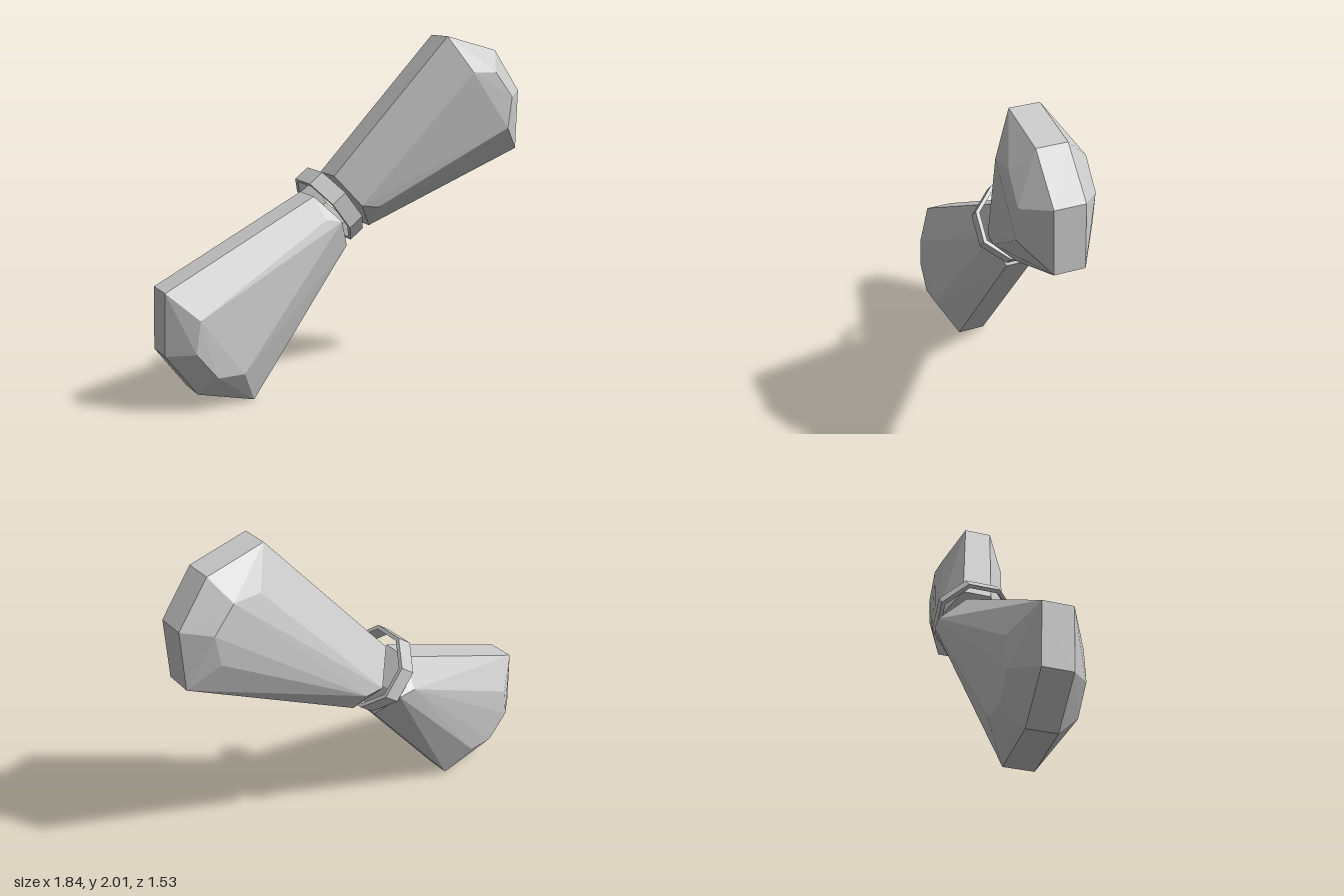
import * as THREE from 'three';
import { ConvexGeometry } from 'three/addons/geometries/ConvexGeometry.js';

const V = (x, y, z) => new THREE.Vector3(x, y, z);

// Frame of the bow: thickness, height and length directions
const thick = V(0.66, -0.05, 0.75).normalize();
const height = V(0.45, -0.78, -0.43);
height.addScaledVector(thick, -height.dot(thick)).normalize();
const along = thick.clone().cross(height);

const RIM = 0.165;   // width of the band round the edge of a loop
const FULL = 0.4;    // full thickness of a loop

// Adds the opposite side of a row of points
const paired = (points, depth) =>
  points.flatMap(p => [p, p.clone().addScaledVector(thick, -depth)]);

// Fan-shaped outer end, shared by both loops through point symmetry
const endRim = [V(0.54, 1.995, -0.276), V(0.79, 1.915, -0.5), V(0.92, 1.675, -0.637), V(0.91, 1.33, -0.642)];
const endFace = [V(0.695, 1.79, -0.265), V(0.81, 1.79, -0.375), V(0.9, 1.645, -0.455), V(0.88, 1.465, -0.44)];
const fanEnd = [...paired(endRim, RIM), ...paired(endFace, FULL)];

function createModel() {
  const group = new THREE.Group();
  const material = new THREE.MeshStandardMaterial({ color: 0xcccccc, flatShading: true });
  const add = (name, geometry) => {
    const mesh = new THREE.Mesh(geometry, material);
    mesh.name = name;
    group.add(mesh);
    return mesh;
  };

  // Upper loop, tapering to the knot
  add('upperLoop', new ConvexGeometry([
    ...fanEnd,
    ...paired([V(-0.062, 1.21, 0), V(0.106, 0.907, -0.17)], RIM),
    ...paired([V(0.1, 1.045, 0), V(0.18, 1.03, -0.06)], FULL),
  ]));

  // Lower loop, with the same end turned through the centre
  add('lowerLoop', new ConvexGeometry([
    ...fanEnd.map(p => V(-p.x, 2 - p.y, -p.z)),
    ...paired([V(-0.005, 0.8, -0.075), V(-0.165, 1.1, 0.07)], RIM),
    ...paired([V(-0.085, 0.97, 0.09), V(-0.01, 0.955, 0.03)], 0.38),
  ]));

  // Knot: an open eight-sided band
  const octagon = (r, Type) => {
    const points = [];
    for (let i = 0; i < 8; i++) {
      const a = (i + 0.5) * Math.PI / 4;
      points.push(new THREE.Vector2(Math.cos(a) * r, Math.sin(a) * r));
    }
    return new Type(points);
  };
  const band = octagon(0.238, THREE.Shape);
  band.holes.push(octagon(0.215, THREE.Path));
  const knotGeometry = new THREE.ExtrudeGeometry(band, { depth: 0.1, bevelEnabled: false });
  knotGeometry.translate(0, 0, -0.05);
  knotGeometry.applyMatrix4(new THREE.Matrix4().makeBasis(thick, height, along).setPosition(-0.11, 1.04, -0.08));
  add('knotBand', knotGeometry);

  return group;
}

export { createModel };
